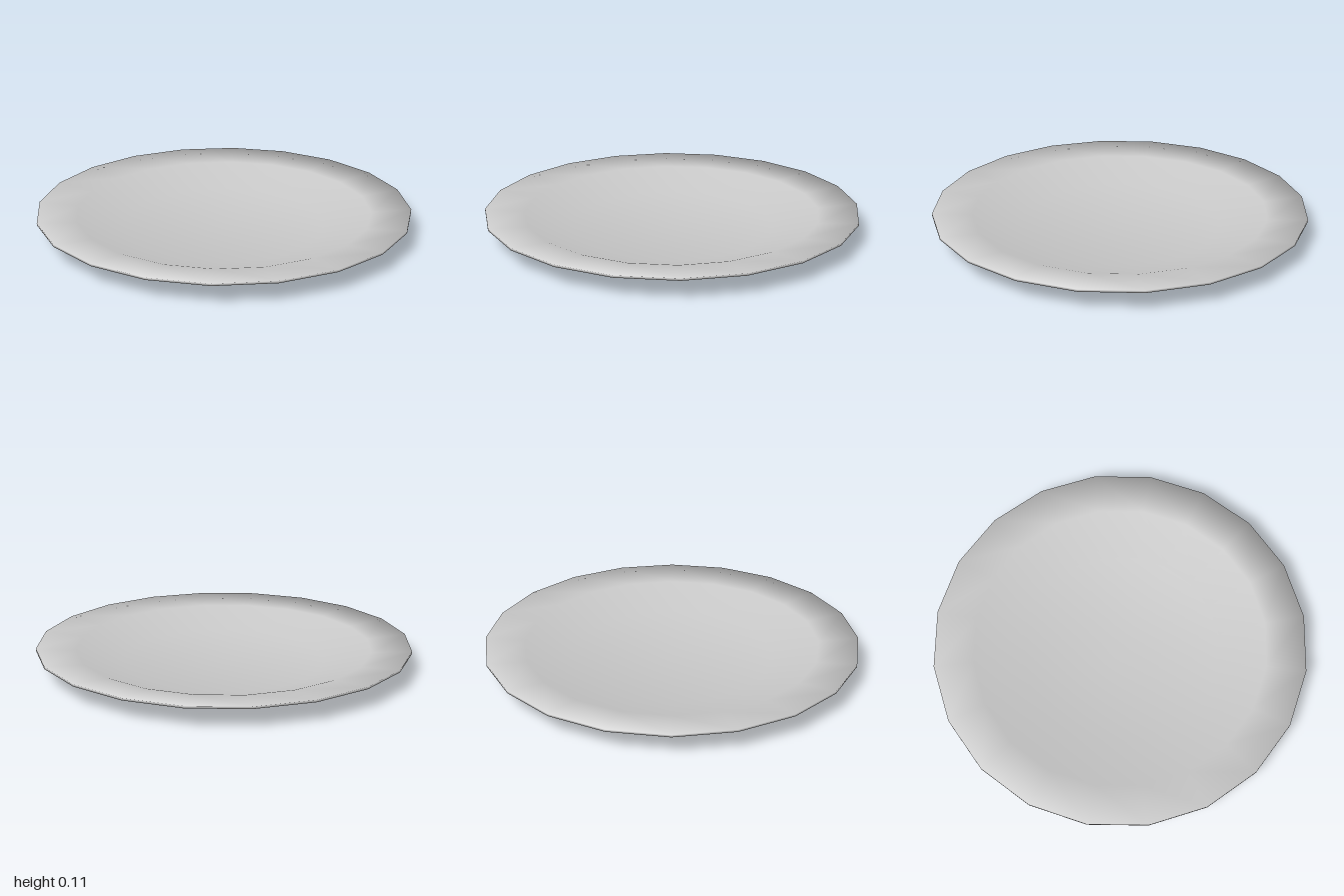
import * as THREE from 'three';

const SIDES = 20;

// Closed plate section as [radius, height]: underside outwards, rim, then upper side inwards
const SECTION = [
  [0, 0], [0.54, 0], [0.79, 0.08], [1, 0.1],
  [1, 0.112], [0.79, 0.092], [0.54, 0.012], [0, 0.012],
];

// Even blend of the two neighbouring segment directions, for a soft rounded rim
function sectionNormals(points) {
  const segments = points.slice(1).map((p, i) =>
    new THREE.Vector2(p.y - points[i].y, points[i].x - p.x).normalize());
  return points.map((_, i) => {
    const before = segments[Math.max(i - 1, 0)];
    const after = segments[Math.min(i, segments.length - 1)];
    return before.clone().add(after).normalize();
  });
}

export function createModel() {
  const group = new THREE.Group();
  group.name = 'plate';

  const points = SECTION.map(([r, y]) => new THREE.Vector2(r, y));
  const geometry = new THREE.LatheGeometry(points, SIDES);

  // Smooth normals swept round the axis
  const normals = sectionNormals(points);
  const attribute = geometry.attributes.normal;
  for (let side = 0; side <= SIDES; side++) {
    const angle = (side / SIDES) * Math.PI * 2;
    normals.forEach((n, j) => attribute.setXYZ(
      side * points.length + j, n.x * Math.sin(angle), n.y, n.x * Math.cos(angle)));
  }

  const dish = new THREE.Mesh(geometry, new THREE.MeshStandardMaterial({ color: 0xcccccc }));
  dish.name = 'dish';
  group.add(dish);
  return group;
}
